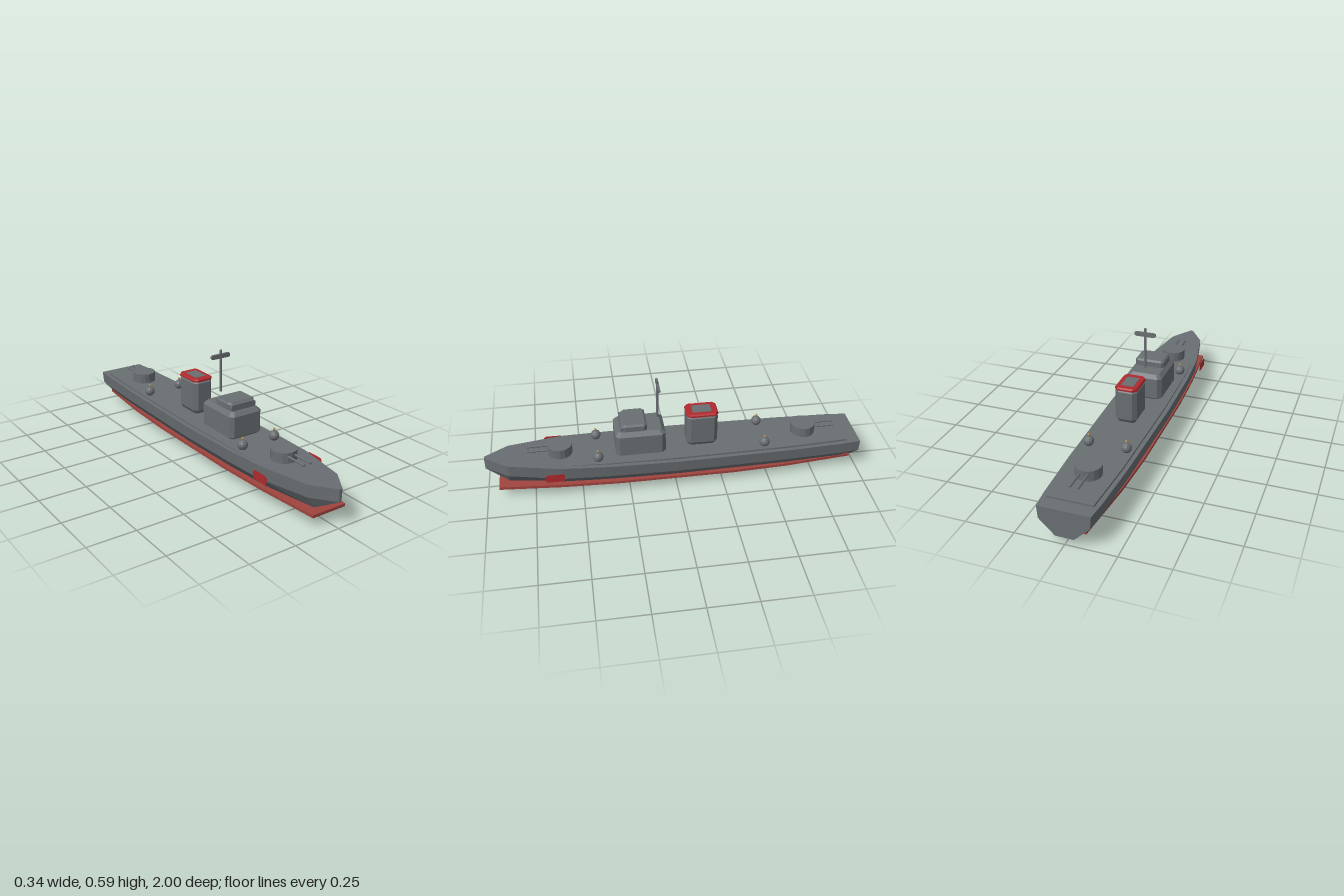
import * as THREE from 'three';

const material = (name, color) => {
  const m = new THREE.MeshStandardMaterial({ color, flatShading: true });
  m.name = name;
  return m;
};

// Skin a row of matching convex rings and cap both ends
function loft(rings) {
  const pos = [];
  const tri = (a, b, c) => pos.push(...a, ...b, ...c);
  const n = rings[0].length;
  for (let i = 0; i < rings.length - 1; i++) {
    for (let j = 0; j < n; j++) {
      const k = (j + 1) % n;
      tri(rings[i][j], rings[i][k], rings[i + 1][k]);
      tri(rings[i][j], rings[i + 1][k], rings[i + 1][j]);
    }
  }
  const first = rings[0], last = rings[rings.length - 1];
  for (let j = 1; j < n - 1; j++) {
    tri(first[0], first[j + 1], first[j]);
    tri(last[0], last[j], last[j + 1]);
  }
  const g = new THREE.BufferGeometry();
  g.setAttribute('position', new THREE.Float32BufferAttribute(pos, 3));
  g.computeVertexNormals();
  return g;
}

// Octagonal plan ring: a rectangle with cut corners
function octRing(w, d, cut, y) {
  const x = w / 2, z = d / 2;
  return [[x, z - cut], [x, cut - z], [x - cut, -z], [cut - x, -z],
    [-x, cut - z], [-x, z - cut], [cut - x, z], [x - cut, z]].map(([a, b]) => [a, y, b]);
}

// Upright block with every edge bevelled
function bevelBox(w, y0, y1, d, bevel, low = bevel, cut = bevel) {
  const s = 2 * bevel;
  return loft([
    octRing(w - s, d - s, cut * 0.6, y0), octRing(w, d, cut, y0 + low),
    octRing(w, d, cut, y1 - bevel), octRing(w - s, d - s, cut * 0.6, y1)]);
}

// Flat slab with a mirrored plan outline given as [z, halfWidth] from stern to bow
function planSlab(outline, y0, y1) {
  const ring = y => [
    ...outline.map(([z, w]) => [-w, y, z]),
    ...[...outline].reverse().map(([z, w]) => [w, y, z])];
  return loft([ring(y0), ring(y1)]);
}

// Upright plate in the xy plane with cut corners
function cutPlate(w, h, d, c) {
  const x = w / 2, y = h / 2;
  const pts = [[x, c - y], [x, y - c], [x - c, y], [c - x, y], [-x, y - c], [-x, c - y], [c - x, -y], [x - c, -y]];
  const g = new THREE.ExtrudeGeometry(new THREE.Shape(pts.map(p => new THREE.Vector2(...p))),
    { depth: d, bevelEnabled: false });
  return g.translate(0, 0, -d / 2);
}

export function createModel() {
  const grey = material('ship grey', 0x696e72);
  const red = material('signal red', 0xb02a2e);
  const rust = material('waterline red', 0xa0443e);
  const brass = material('brass', 0xb8944c);
  const ship = new THREE.Group();
  ship.name = 'warship';

  const add = (name, geometry, mat, x = 0, y = 0, z = 0, parent = ship) => {
    const mesh = new THREE.Mesh(geometry, mat);
    mesh.name = name;
    mesh.position.set(x, y, z);
    parent.add(mesh);
    return mesh;
  };

  // Hull sections: z, deck width, deck y, chine width, chine y, keel width, keel y (half widths)
  const sections = [
    [-1.0, 0.130, 0.180, 0.124, 0.115, 0.045, 0.037],
    [-0.9, 0.140, 0.180, 0.134, 0.115, 0.055, 0.020],
    [-0.6, 0.153, 0.180, 0.146, 0.115, 0.062, 0.005],
    [0.0, 0.163, 0.181, 0.156, 0.116, 0.066, 0.000],
    [0.35, 0.157, 0.184, 0.150, 0.117, 0.064, 0.010],
    [0.6, 0.144, 0.190, 0.138, 0.119, 0.058, 0.022],
    [0.88, 0.090, 0.196, 0.086, 0.130, 0.045, 0.066],
    [1.0, 0.008, 0.200, 0.007, 0.137, 0.006, 0.134]];
  add('hull', loft(sections.map(([z, dw, dy, cw, cy, kw, ky]) => [
    [kw, ky, z], [cw, cy, z], [dw, dy, z], [-dw, dy, z], [-cw, cy, z], [-kw, ky, z]])), grey);

  // Raised deck and waterline band
  add('deck', planSlab([[-0.93, 0.115], [-0.6, 0.132], [0, 0.14], [0.35, 0.135],
    [0.6, 0.121], [0.8, 0.085]], 0.175, 0.19), grey);
  add('waterlineBand', planSlab([[-0.965, 0.09], [-0.6, 0.125], [-0.3, 0.138], [0.3, 0.138],
    [0.6, 0.125], [0.935, 0.097]], 0.053, 0.068), rust);

  // Bridge
  add('bridgeBase', bevelBox(0.196, 0.19, 0.337, 0.262, 0.02, 0.015), grey, 0, 0, 0.184);
  add('bridgeTop', bevelBox(0.162, 0.337, 0.378, 0.125, 0.009, 0.004, 0.014), grey, 0, 0, 0.212);
  add('bridgeWindowBar', cutPlate(0.148, 0.032, 0.02, 0.007), grey, 0, 0.353, 0.275);

  // Funnel with a coloured rim
  add('funnel', bevelBox(0.116, 0.195, 0.38, 0.164, 0.012, 0.02, 0.02), grey, 0, 0, -0.147);
  add('funnelCap', bevelBox(0.118, 0.376, 0.393, 0.168, 0.006, 0.002, 0.02), red, 0, 0, -0.147);
  add('funnelOpening', new THREE.BoxGeometry(0.066, 0.003, 0.1), grey, 0, 0.3925, -0.147);

  // Mast
  add('mast', new THREE.CylinderGeometry(0.0065, 0.0065, 0.224, 8), grey, 0, 0.48, 0.085);
  add('mastCrossarm', cutPlate(0.114, 0.023, 0.012, 0.006), grey, 0, 0.559, 0.082);

  // Twin gun turrets, facing bow and stern
  for (const [name, y, z, turn] of [['frontTurret', 0.22, 0.605, 0], ['rearTurret', 0.217, -0.71, Math.PI]]) {
    const turret = new THREE.Group();
    turret.name = name;
    turret.position.set(0, y, z);
    turret.rotation.y = turn;
    ship.add(turret);
    add('turretDrum', new THREE.CylinderGeometry(0.065, 0.065, 0.054, 16), grey, 0, 0, 0, turret);
    for (const x of [-0.02, 0.02]) {
      add('gunBarrel', new THREE.CylinderGeometry(0.006, 0.006, 0.125, 8).rotateX(Math.PI / 2),
        grey, x, 0.007, 0.108, turret);
    }
  }

  // Deck domes with brass tips, and side badges
  for (const side of [-1, 1]) {
    for (const z of [0.41, -0.475]) {
      add('deckDome', new THREE.SphereGeometry(0.027, 12, 8), grey, side * 0.098, 0.213, z);
      add('domeTip', new THREE.SphereGeometry(0.006, 8, 6).scale(1, 1.4, 1), brass, side * 0.098, 0.247, z);
    }
    add('sidePanel', cutPlate(0.1, 0.046, 0.002, 0.01).rotateY(Math.PI / 2), red, side * 0.168, 0.152, 0.639);
  }
  return ship;
}
